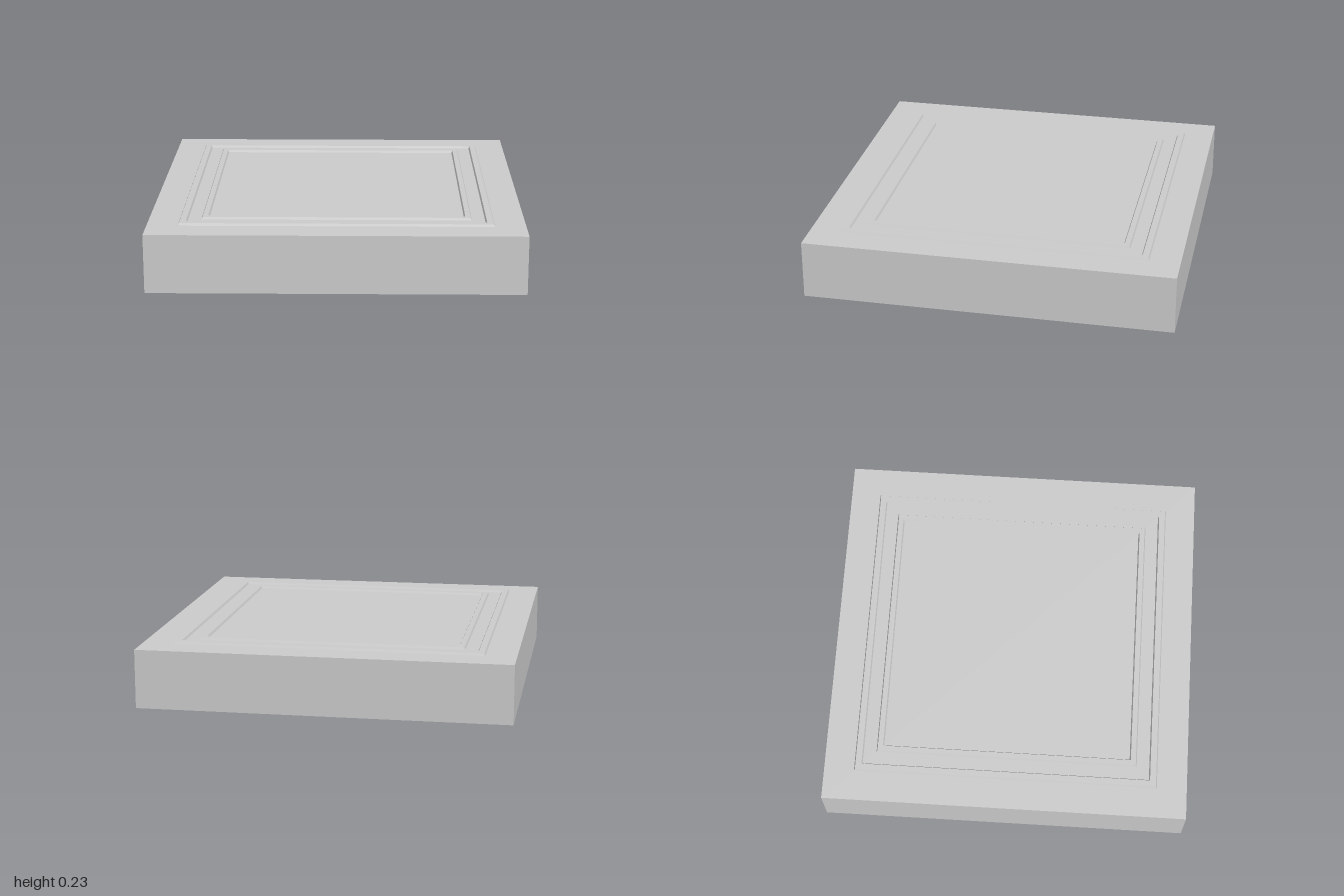
import * as THREE from 'three';

const SLAB_HEIGHT = 0.225;
const RIDGE_HEIGHT = 0.009;

export function createModel() {
  const model = new THREE.Group();
  model.name = 'squareTile';
  const material = new THREE.MeshStandardMaterial({ color: 0xcccccc, flatShading: true });

  function add(name, geometry, y) {
    const mesh = new THREE.Mesh(geometry, material);
    mesh.name = name;
    mesh.position.y = y;
    model.add(mesh);
  }

  // Square slab, corners on the x and z axes
  add('slab', new THREE.CylinderGeometry(1, 1, SLAB_HEIGHT, 4), SLAB_HEIGHT / 2);

  // Low square ridge with chamfered edges; radii are measured to the corners
  function ridge(name, outer, inner) {
    const chamfer = 0.006;
    const profile = [
      [outer, 0],
      [outer - chamfer, RIDGE_HEIGHT],
      [inner + chamfer, RIDGE_HEIGHT],
      [inner, 0],
    ].map(([r, y]) => new THREE.Vector2(r, y));
    add(name, new THREE.LatheGeometry(profile, 4), SLAB_HEIGHT);
  }

  // Two concentric border ridges
  ridge('outerRidge', 0.835, 0.79);
  ridge('innerRidge', 0.72, 0.68);

  return model;
}
